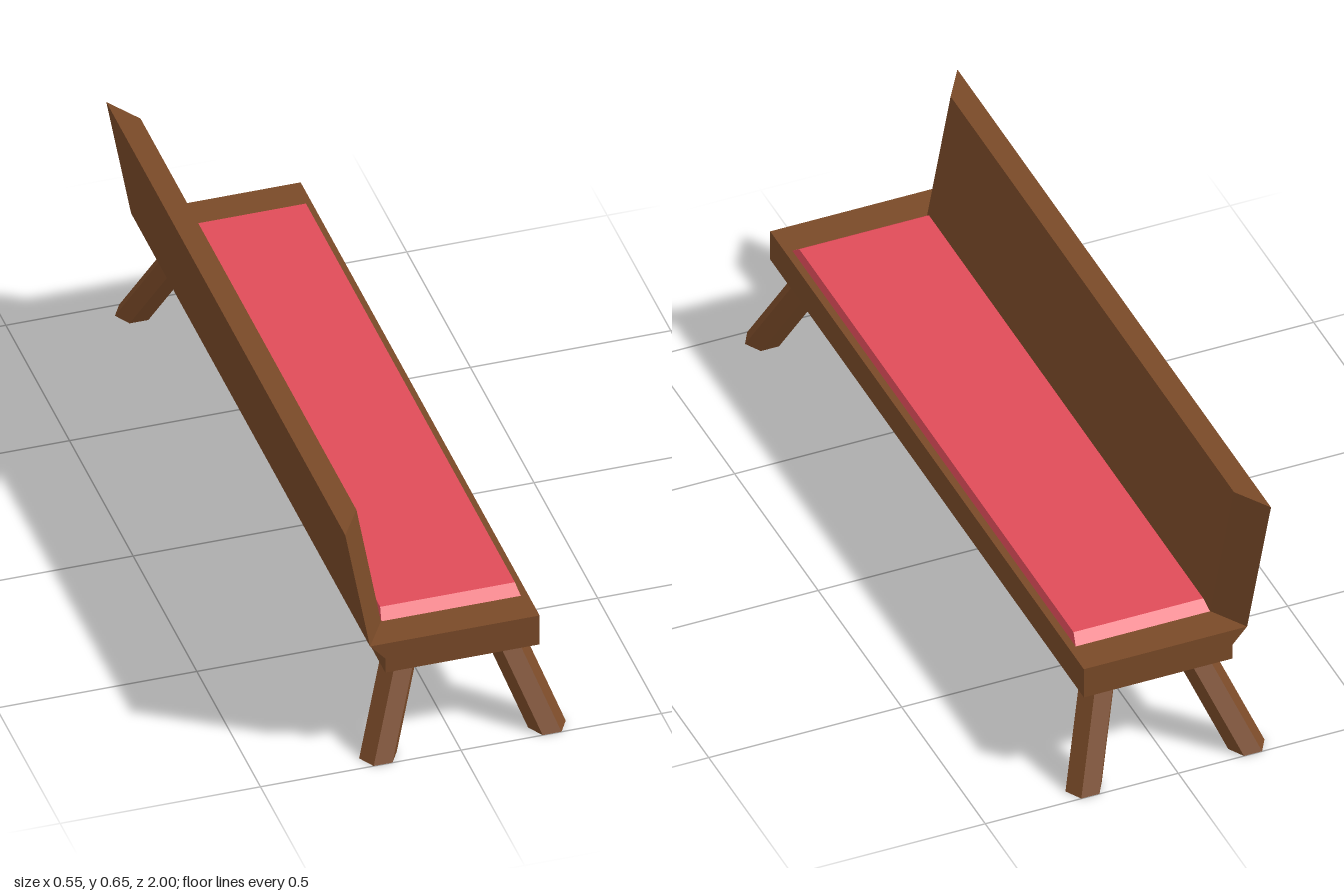
import * as THREE from 'three';

const wood = new THREE.MeshStandardMaterial({ color: 0x7a4a28, flatShading: true });
const cloth = new THREE.MeshStandardMaterial({ color: 0xe04c59, flatShading: true });

// Solid between two rings of [x, z] corners, anticlockwise seen from above
function loft(low, y0, high, y1) {
  const a = low.map(([x, z]) => [x, y0, z]);
  const b = high.map(([x, z]) => [x, y1, z]);
  const n = a.length, p = [];
  for (let i = 0; i < n; i++) {
    const j = (i + 1) % n;
    p.push(...a[i], ...a[j], ...b[j], ...a[i], ...b[j], ...b[i]);
    if (i > 0 && j > 0) p.push(...b[0], ...b[i], ...b[j], ...a[0], ...a[j], ...a[i]);
  }
  const g = new THREE.BufferGeometry();
  g.setAttribute('position', new THREE.Float32BufferAttribute(p, 3));
  g.computeVertexNormals();
  return g;
}

const rect = (x0, x1, z0, z1) => [[x0, z0], [x0, z1], [x1, z1], [x1, z0]];

const hexagon = (cx, cz, r) => Array.from({ length: 6 }, (_, i) => {
  const t = i * Math.PI / 3;
  return [cx + r * Math.cos(t), cz - r * Math.sin(t)];
});

export function createModel() {
  const bench = new THREE.Group();
  bench.name = 'bench';
  const add = (name, geometry, material) => {
    const mesh = new THREE.Mesh(geometry, material);
    mesh.name = name;
    bench.add(mesh);
  };
  const zBack = -0.92, zFront = 0.957, seatLow = 0.234, seatTop = 0.318;

  // Seat slab, with a sloped ledge carrying the backrest
  const profile = new THREE.Shape([
    [-0.175, seatLow], [0.21, seatLow], [0.21, seatTop], [-0.213, seatTop], [-0.175, 0.275],
  ].map(([x, y]) => new THREE.Vector2(x, y)));
  const seat = new THREE.ExtrudeGeometry(profile, { depth: zFront - zBack, bevelEnabled: false });
  seat.translate(0, 0, zBack);
  add('seat', seat, wood);

  // Leaning backrest whose ends taper toward its inner face
  const backRing = (outer, inner) => [[outer, zBack], [outer, zFront], [inner, 0.866], [inner, -0.83]];
  add('backrest', loft(backRing(-0.213, -0.157), seatTop, backRing(-0.275, -0.218), 0.655), wood);

  // Cushion with sloped edges
  add('cushion', loft(rect(-0.156, 0.192, -0.83, 0.866), seatTop,
    rect(-0.15, 0.186, -0.803, 0.838), 0.34), cloth);

  // Splayed hexagonal legs
  for (const [side, footX, topX] of [['right', -0.194, -0.101], ['left', 0.2275, 0.144]]) {
    for (const [end, s] of [['front', 1], ['back', -1]]) {
      add(`${end} ${side} leg`, loft(hexagon(footX, s * 0.959, 0.047), 0,
        hexagon(topX, s * 0.85, 0.047), seatLow), wood);
    }
  }
  return bench;
}
